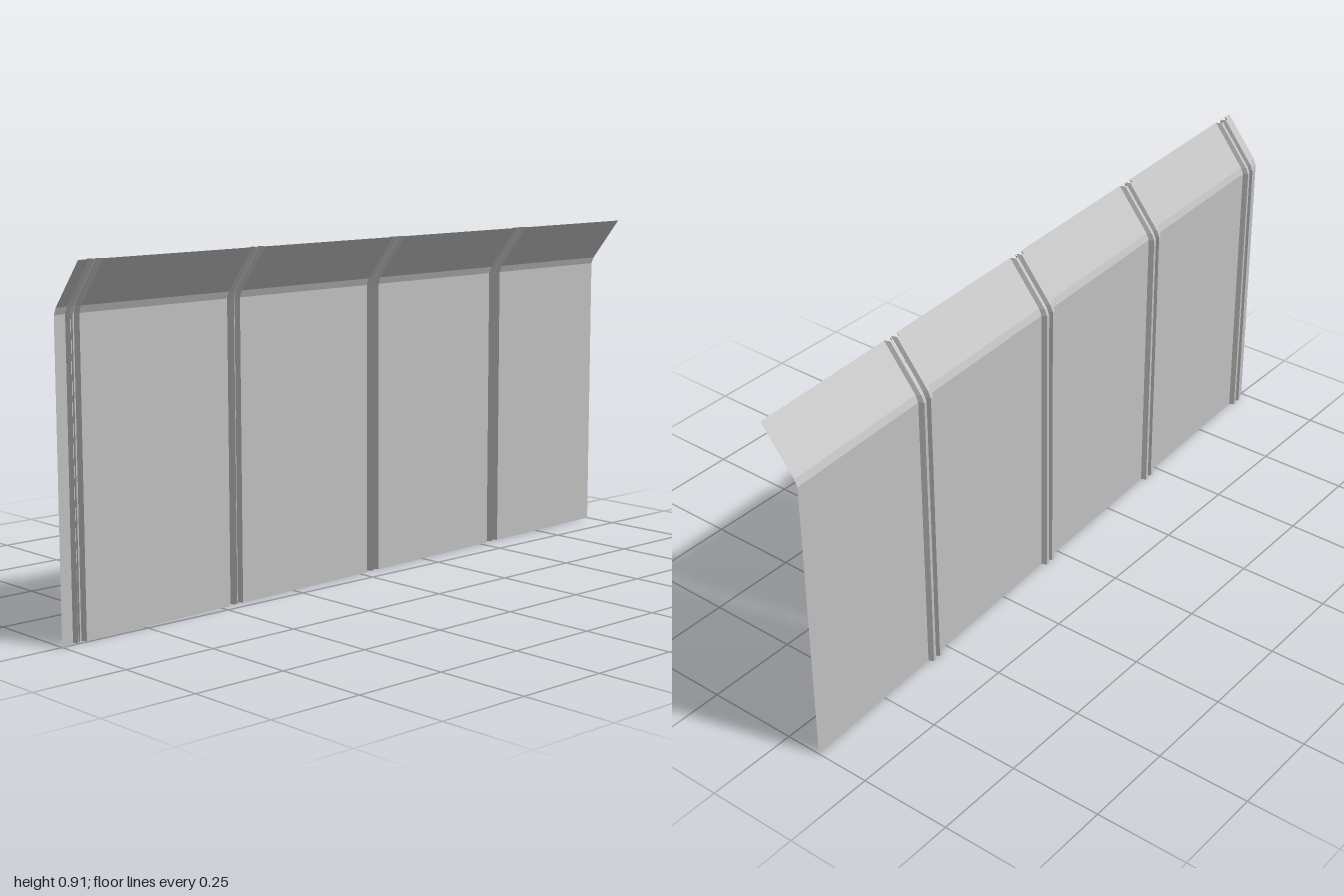
import * as THREE from 'three';

// Side profile of the sheet (y, forward offset): wall, narrow bend, sloping lip
const PROFILE = [[0, 0], [0.78, 0], [0.798, 0.008], [0.912, 0.1]];
// Seam centres along the wall
const SEAMS = [-0.95, -0.45, 0.05, 0.55];
// Half of a seam, from the slit outwards (distance from centre, offset to the back)
const RIB = [[0.003, 0], [0.008, -0.014], [0.017, -0.014], [0.023, 0]];

// Sweep a plan section (x, z offset) along the profile, with sharp folds
function foldedSheet(section, material, name) {
  const positions = [];
  const point = ([x, dz], [y, z]) => [x, y, z + dz - 0.05 * (x + 1)];
  for (let i = 0; i < section.length - 1; i++) {
    for (let j = 0; j < PROFILE.length - 1; j++) {
      const a = point(section[i], PROFILE[j]);
      const b = point(section[i + 1], PROFILE[j]);
      const c = point(section[i + 1], PROFILE[j + 1]);
      const d = point(section[i], PROFILE[j + 1]);
      positions.push(...a, ...b, ...c, ...a, ...c, ...d);
    }
  }
  const geometry = new THREE.BufferGeometry();
  geometry.setAttribute('position', new THREE.Float32BufferAttribute(positions, 3));
  geometry.computeVertexNormals();
  const mesh = new THREE.Mesh(geometry, material);
  mesh.name = name;
  return mesh;
}

export function createModel() {
  const group = new THREE.Group();
  group.name = 'sheetMetalWall';
  const metal = new THREE.MeshStandardMaterial({ color: 0xc0c0c0, side: THREE.DoubleSide });
  metal.name = 'grey metal';

  // One folded panel between each pair of neighbouring seams
  for (let i = 0; i <= SEAMS.length; i++) {
    const start = i === 0
      ? [[-1, 0]]
      : RIB.map(([d, z]) => [SEAMS[i - 1] + d, z]);
    const end = i === SEAMS.length
      ? [[1, 0]]
      : RIB.map(([d, z]) => [SEAMS[i] - d, z]).reverse();
    group.add(foldedSheet([...start, ...end], metal, `wallPanel${i + 1}`));
  }
  return group;
}
